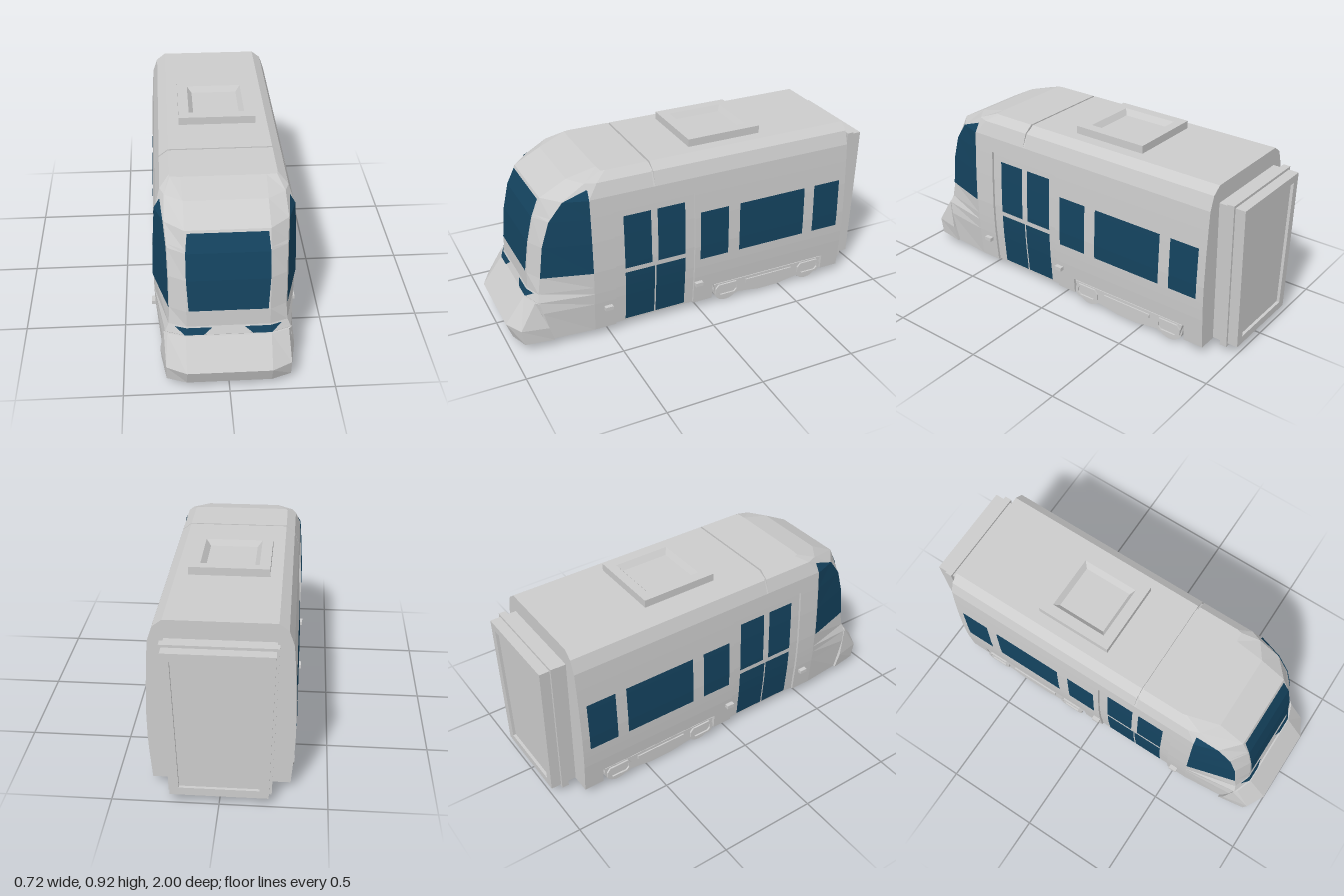
import * as THREE from 'three';

const grey = new THREE.MeshStandardMaterial({ color: 0xcccccc, flatShading: true, side: THREE.DoubleSide });
const glass = new THREE.MeshStandardMaterial({ color: 0x14435f, flatShading: true, side: THREE.DoubleSide });

// Hull outline by height: y, side x, side end z, corner x, corner z, front x, front z
const LEVELS = [
  [0.04, 0.325, 0.58, 0.305, 0.80, 0.2, 0.85],
  [0.20, 0.338, 0.58, 0.305, 0.845, 0.2, 0.87],
  [0.26, 0.341, 0.58, 0.295, 0.855, 0.2, 0.89],
  [0.30, 0.342, 0.58, 0.278, 0.845, 0.195, 0.875],
  [0.385, 0.343, 0.58, 0.272, 0.83, 0.195, 0.872],
  [0.55, 0.338, 0.58, 0.272, 0.81, 0.195, 0.852],
  [0.68, 0.331, 0.58, 0.275, 0.77, 0.195, 0.822],
  [0.775, 0.324, 0.58, 0.285, 0.70, 0.195, 0.78],
  [0.845, 0.30, 0.53, 0.28, 0.585, 0.195, 0.645],
  [0.88, 0.255, 0.47, 0.25, 0.49, 0.2, 0.495],
];
const DOOR = [0.03, 0.465], DOOR_TOP = 0.695, DOOR_DEPTH = 0.012;
const BOGIE = [-0.76, -0.08], REAR = -0.865;

function outline(y) {
  let i = 0;
  while (i < LEVELS.length - 2 && LEVELS[i + 1][0] < y) i++;
  const a = LEVELS[i], b = LEVELS[i + 1], t = (y - a[0]) / (b[0] - a[0]);
  const [, xs, zm, xc, zc, xf, zf] = a.map((v, k) => v + (b[k] - v) * t);
  return { xs, zm, xc, zc, xf, zf };
}

function add(parent, name, geometry, material = grey) {
  const mesh = new THREE.Mesh(geometry, material);
  mesh.name = name;
  parent.add(mesh);
  return mesh;
}

function build(points, index) {
  const g = new THREE.BufferGeometry();
  g.setAttribute('position', new THREE.Float32BufferAttribute(points.flat(), 3));
  g.setIndex(index);
  g.computeVertexNormals();
  return g;
}

// Open sheet through rows of points
function sheet(rows) {
  const n = rows[0].length, index = [];
  for (let j = 0; j < rows.length - 1; j++)
    for (let i = 0; i < n - 1; i++) {
      const a = j * n + i, b = a + 1, d = a + n, c = d + 1;
      index.push(a, d, c, a, c, b);
    }
  return build(rows.flat(), index);
}

// Closed symmetric solid: each level runs back to front on the +x side and is mirrored
function mirroredLoft(levels) {
  const h = levels[0].length, n = 2 * h, index = [];
  const rings = levels.map(l => [...l, ...l.map(([x, y, z]) => [-x, y, z]).reverse()]);
  for (let j = 0; j < rings.length - 1; j++)
    for (let i = 0; i < n; i++) {
      const k = (i + 1) % n, a = j * n + i, b = j * n + k, c = b + n, d = a + n;
      index.push(a, d, c, a, c, b);
    }
  const top = (rings.length - 1) * n;
  for (let i = 0; i < h - 1; i++) {
    const l = i, m = i + 1, r = n - 1 - i, s = n - 2 - i;
    index.push(l, m, s, l, s, r, top + l, top + r, top + s, top + l, top + s, top + m);
  }
  return build(rings.flat(), index);
}

function extrude(points, depth, hole) {
  const v = p => p.map(([x, y]) => new THREE.Vector2(x, y));
  const shape = new THREE.Shape(v(points));
  if (hole) shape.holes.push(new THREE.Path(v(hole)));
  return new THREE.ExtrudeGeometry(shape, { depth, bevelEnabled: false });
}

// One hull level, with door recess, roof groove and bogie cutout
function hullLevel(y) {
  const o = outline(y);
  const inset = y <= DOOR_TOP ? DOOR_DEPTH : 0;
  const groove = y > 0.84 ? 0.01 : 0, drop = y > 0.87 ? 0.012 : 0;
  const cutY = y < 0.1 ? 0.125 : y, cutX = outline(cutY).xs, x = o.xs;
  return [
    [x, y, REAR], [x, y, BOGIE[0]], [cutX, cutY, BOGIE[0]], [cutX, cutY, BOGIE[1]], [x, y, BOGIE[1]],
    [x, y, DOOR[0]], [x - inset, y, DOOR[0]], [x - inset, y, 0.24],
    [x - inset - groove, y - drop, 0.24], [x - inset - groove, y - drop, 0.25],
    [x - inset, y, 0.25], [x - inset, y, DOOR[1]], [x, y, DOOR[1]],
    [x, y, o.zm], [o.xc, y, o.zc], [o.xf, y, o.zf],
  ];
}

// Pane that follows the curved side wall
function sidePane(s, z0, z1, y0, y1, offset) {
  const ys = [y0, ...LEVELS.map(l => l[0]).filter(y => y > y0 && y < y1), y1];
  return sheet(ys.map(y => [z0, z1].map(z => [s * (outline(y).xs + offset), y, z])));
}

// Point on the nose surface for a given x and y
function nosePoint(x, y, s = 1) {
  const o = outline(y), t = Math.max(0, (x - o.xf) / (o.xc - o.xf));
  return [s * x, y, o.zf + (o.zc - o.zf) * t + 0.004];
}

function trapezoid(top, bottom, y0, y1) {
  return [[-bottom, y0], [bottom, y0], [top, y1], [-top, y1]];
}

export function createModel() {
  const model = new THREE.Group();
  model.name = 'tram';

  // Body shell
  const ys = [...LEVELS.map(l => l[0]), DOOR_TOP, DOOR_TOP + 0.0001].sort((a, b) => a - b);
  add(model, 'bodyShell', mirroredLoft(ys.map(hullLevel)));

  // Bumper
  add(model, 'bumper', mirroredLoft([
    [[0.318, 0.04, 0.79], [0.295, 0.038, 0.935], [0.2, 0.038, 0.97]],
    [[0.322, 0.12, 0.815], [0.295, 0.12, 0.95], [0.2, 0.12, 1.0]],
    [[0.302, 0.258, 0.85], [0.285, 0.258, 0.868], [0.2, 0.258, 0.898]],
  ]));

  // Windshield
  add(model, 'windshield', sheet([0.39, 0.55, 0.68, 0.765].map(y => {
    const w = y < 0.4 || y > 0.7 ? 0.184 : 0.193;
    return [nosePoint(-w, y), nosePoint(w, y)].map(([x, , z], i) => [i ? w : -w, y, outline(y).zf + 0.004]);
  })), glass);

  for (const s of [1, -1]) {
    const side = new THREE.Group();
    side.name = s > 0 ? 'leftSide' : 'rightSide';
    model.add(side);

    // Cab side window, tapering to its top rear corner
    add(side, 'cabSideWindow', sheet([0.385, 0.55, 0.68, 0.775, 0.82].map(y => {
      const o = outline(y);
      return (y > 0.8 ? [0.39, 0.45] : [0, 1]).map(t =>
        [s * (o.xs + (o.xc - o.xs) * t + 0.004), y, o.zm + (o.zc - o.zm) * t + 0.001]);
    })), glass);

    // Headlight wrapping round the nose corner
    add(side, 'headlight', sheet([
      [0.115, 0.195, 0.205].map(x => nosePoint(x, 0.262, s)),
      [0.075, 0.195, 0.25].map(x => nosePoint(x, 0.295, s)),
    ]), glass);

    // Passenger windows
    for (const [z0, z1] of [[-0.16, 0], [-0.61, -0.225], [-0.825, -0.67]])
      add(side, 'passengerWindow', sidePane(s, z0, z1, 0.31, 0.58, 0.002), glass);

    // Door glass
    for (const [z0, z1, y0, y1] of [[0.08, 0.23, 0.36, 0.65], [0.265, 0.41, 0.36, 0.65],
      [0.08, 0.243, 0.05, 0.335], [0.251, 0.41, 0.05, 0.335]])
      add(side, 'doorGlass', sidePane(s, z0, z1, y0, y1, 0.002 - DOOR_DEPTH), glass);

    // Side marker lamps
    for (const z of [0.008, 0.51])
      add(side, 'sideMarker', new THREE.BoxGeometry(0.03, 0.02, 0.042)).position.set(s * 0.343, 0.165, z);

    // Bogie side frame, drawn in (-z, y) and turned to face sideways
    const place = (mesh, x) => { mesh.rotation.y = Math.PI / 2; mesh.position.x = x; };
    const half = [[0.33, 0.12], [0.315, 0.06], [0.28, 0.03], [0.19, 0.04], [0.12, 0.03], [0.06, 0.02]];
    const frame = [...half.map(([u, v]) => [0.42 - u, v]), ...half.map(([u, v]) => [0.42 + u, v]).reverse()];
    place(add(side, 'bogieFrame', extrude(frame, 0.022)), s > 0 ? 0.308 : -0.33);
    const hex = (c, w, h) => [[-w, 0.4 * h], [-w * 0.75, h], [w * 0.75, h], [w, 0.4 * h], [w, -0.4 * h],
      [w * 0.75, -h], [-w * 0.75, -h], [-w, -0.4 * h]].map(([u, v]) => [c + u, 0.077 + v]);
    for (const c of [0.168, 0.672])
      place(add(side, 'axleBoxCover', extrude(hex(c, 0.07, 0.036), 0.01, hex(c, 0.055, 0.025))), s > 0 ? 0.329 : -0.339);
    place(add(side, 'bogieCentrePanel', extrude(
      [[0.28, 0.105], [0.28, 0.085], [0.31, 0.05], [0.53, 0.05], [0.56, 0.085], [0.56, 0.105]], 0.008)), s > 0 ? 0.329 : -0.337);

    // Wheels
    for (const z of [-0.17, -0.67]) {
      const wheel = add(side, 'wheel', new THREE.CylinderGeometry(0.075, 0.075, 0.045, 24));
      wheel.rotation.z = Math.PI / 2;
      wheel.position.set(s * 0.293, 0.075, z);
    }
  }

  // Axles
  for (const z of [-0.17, -0.67]) {
    const axle = add(model, 'axle', new THREE.CylinderGeometry(0.025, 0.025, 0.56, 12));
    axle.rotation.z = Math.PI / 2;
    axle.position.set(0, 0.075, z);
  }

  // Roof hatch: rim, sloped inner walls and sunken floor in nested rectangles
  const rect = (w, z0, z1, y) => [[-w, y, z0], [w, y, z0], [w, y, z1], [-w, y, z1], [-w, y, z0]];
  add(model, 'roofHatch', sheet([
    rect(0.195, -0.4, 0, 0.875), rect(0.195, -0.4, 0, 0.92), rect(0.142, -0.352, -0.055, 0.92),
    rect(0.118, -0.33, -0.075, 0.892), rect(0, -0.2, -0.2, 0.892),
  ]));

  // Rear gangway with raised band and recessed end panel
  const outer = trapezoid(0.25, 0.228, 0.045, 0.79), inner = trapezoid(0.21, 0.185, 0.085, 0.75);
  add(model, 'gangway', extrude(outer, 0.14, inner)).position.z = -1;
  add(model, 'gangwayBand', extrude(trapezoid(0.262, 0.24, 0.03, 0.803), 0.036, inner)).position.z = -0.948;
  add(model, 'gangwayPanel', extrude(inner, 0.01)).position.z = -0.985;
  return model;
}
